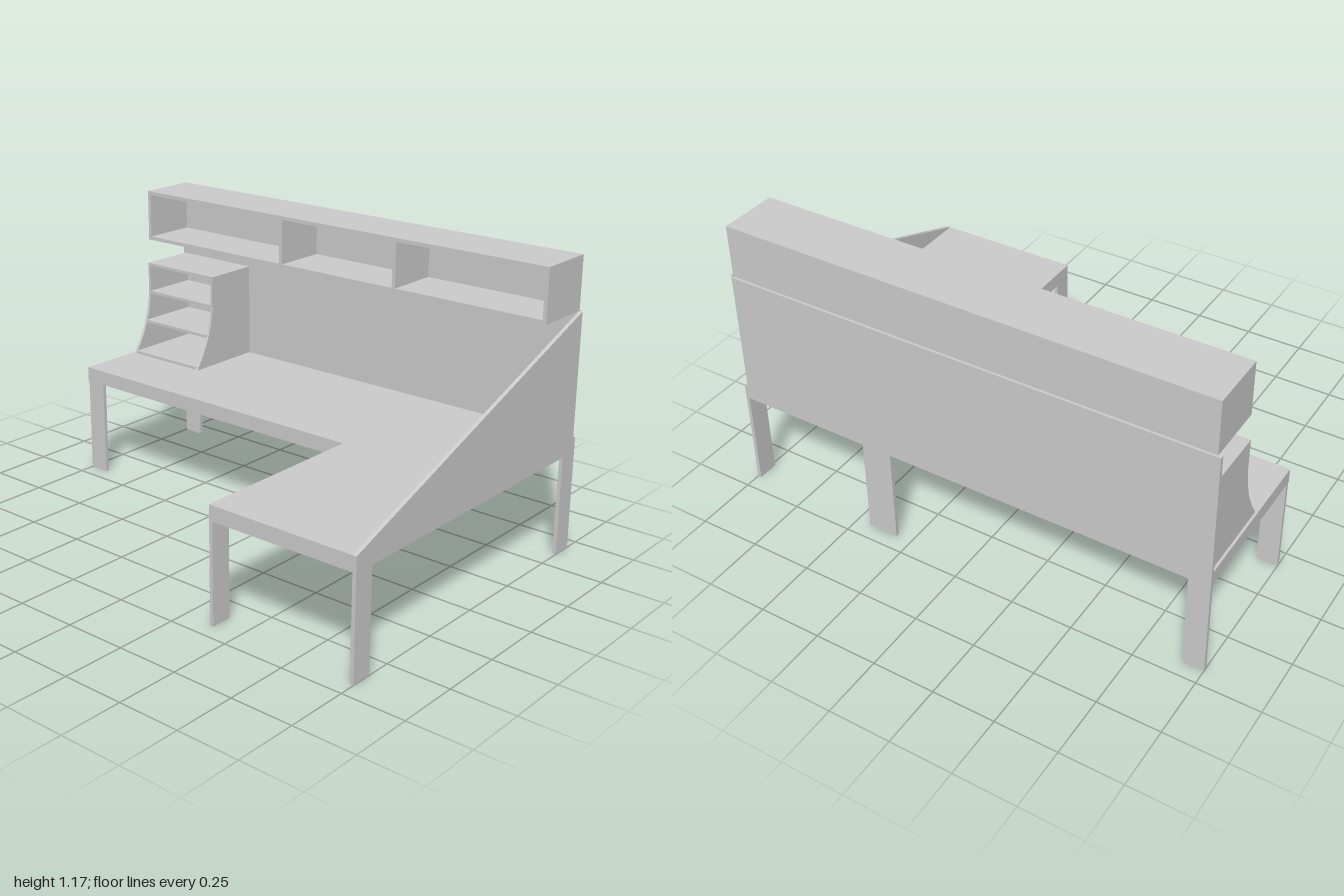
import * as THREE from 'three';

const material = new THREE.MeshStandardMaterial({ color: 0xcccccc, flatShading: true });
const T = 0.015; // board thickness

function add(parent, name, geometry) {
  const mesh = new THREE.Mesh(geometry, material);
  mesh.name = name;
  parent.add(mesh);
  return mesh;
}

// Box given by its minimum and maximum corners
function board(parent, name, [x0, y0, z0], [x1, y1, z1]) {
  const mesh = add(parent, name, new THREE.BoxGeometry(x1 - x0, y1 - y0, z1 - z0));
  mesh.position.set((x0 + x1) / 2, (y0 + y1) / 2, (z0 + z1) / 2);
  return mesh;
}

const polygon = (points) => new THREE.Shape(points.map(([x, y]) => new THREE.Vector2(x, y)));
const extrude = (shape, depth) =>
  new THREE.ExtrudeGeometry(shape, { depth, bevelEnabled: false, curveSegments: 12 });

export function createModel() {
  const desk = new THREE.Group();
  desk.name = 'cornerDesk';

  // L-shaped worktop, drawn as (x, -z) and laid flat
  const top = polygon([
    [-0.685, -0.985], [0.67, -0.985], [0.67, 1], [0.06, 1], [0.06, -0.375], [-0.685, -0.375],
  ]);
  add(desk, 'worktop', extrude(top, 0.06).rotateX(-Math.PI / 2)).position.y = 0.4;

  // Tall back panel and sloping end panel
  board(desk, 'backPanel', [0.67, 0.4, -1], [0.685, 0.955, 0.985]);
  const slope = polygon([
    [-0.685, 0.4], [0.685, 0.4], [0.685, 0.46], [0.67, 0.46], [0.67, 0.955], [-0.685, 0.46],
  ]);
  add(desk, 'endPanel', extrude(slope, T)).position.z = 0.985;

  // Flat board legs: [x0, x1, z0, z1]
  const legs = [
    [-0.685, -0.6, 0.985, 1], [0.6, 0.685, 0.985, 1],
    [-0.685, -0.6, 0.375, 0.39], [0.065, 0.08, -1, -0.915],
    [0.67, 0.685, -1, -0.915], [0.67, 0.685, 0.315, 0.44],
  ];
  for (const [x0, x1, z0, z1] of legs) board(desk, 'leg', [x0, 0, z0], [x1, 0.4, z1]);

  // Long overhead cabinet, open towards the user
  const cabinet = new THREE.Group();
  cabinet.name = 'overheadCabinet';
  desk.add(cabinet);
  const [cx0, cx1, cy0, cy1, cz] = [0.435, 0.675, 0.955, 1.168, 0.985];
  board(cabinet, 'cabinetBottom', [cx0, cy0, -cz], [cx1, cy0 + T, cz]);
  board(cabinet, 'cabinetTop', [cx0, cy1 - T, -cz], [cx1, cy1, cz]);
  board(cabinet, 'cabinetBack', [cx1 - T, cy0 + T, -cz], [cx1, cy1 - T, cz]);
  for (const z of [-cz, -0.25, 0.31, cz - T]) {
    board(cabinet, 'cabinetDivider', [cx0, cy0 + T, z], [cx1 - T, cy1 - T, z + T]);
  }

  // Small shelf unit with flared sides standing on the worktop
  const unit = new THREE.Group();
  unit.name = 'shelfUnit';
  desk.add(unit);
  const side = new THREE.Shape();
  side.moveTo(0.67, 0.46);
  side.lineTo(0.67, 0.85);
  side.lineTo(0.432, 0.85);
  side.lineTo(0.432, 0.72);
  side.quadraticCurveTo(0.42, 0.58, 0.33, 0.46);
  side.closePath();
  for (const z of [-0.99, -0.625]) add(unit, 'shelfSide', extrude(side, 0.012)).position.z = z;
  for (const [x, y] of [[0.335, 0.46], [0.402, 0.587], [0.432, 0.713], [0.432, 0.838]]) {
    board(unit, 'shelf', [x, y, -0.978], [0.67, y + 0.012, -0.625]);
  }

  return desk;
}
